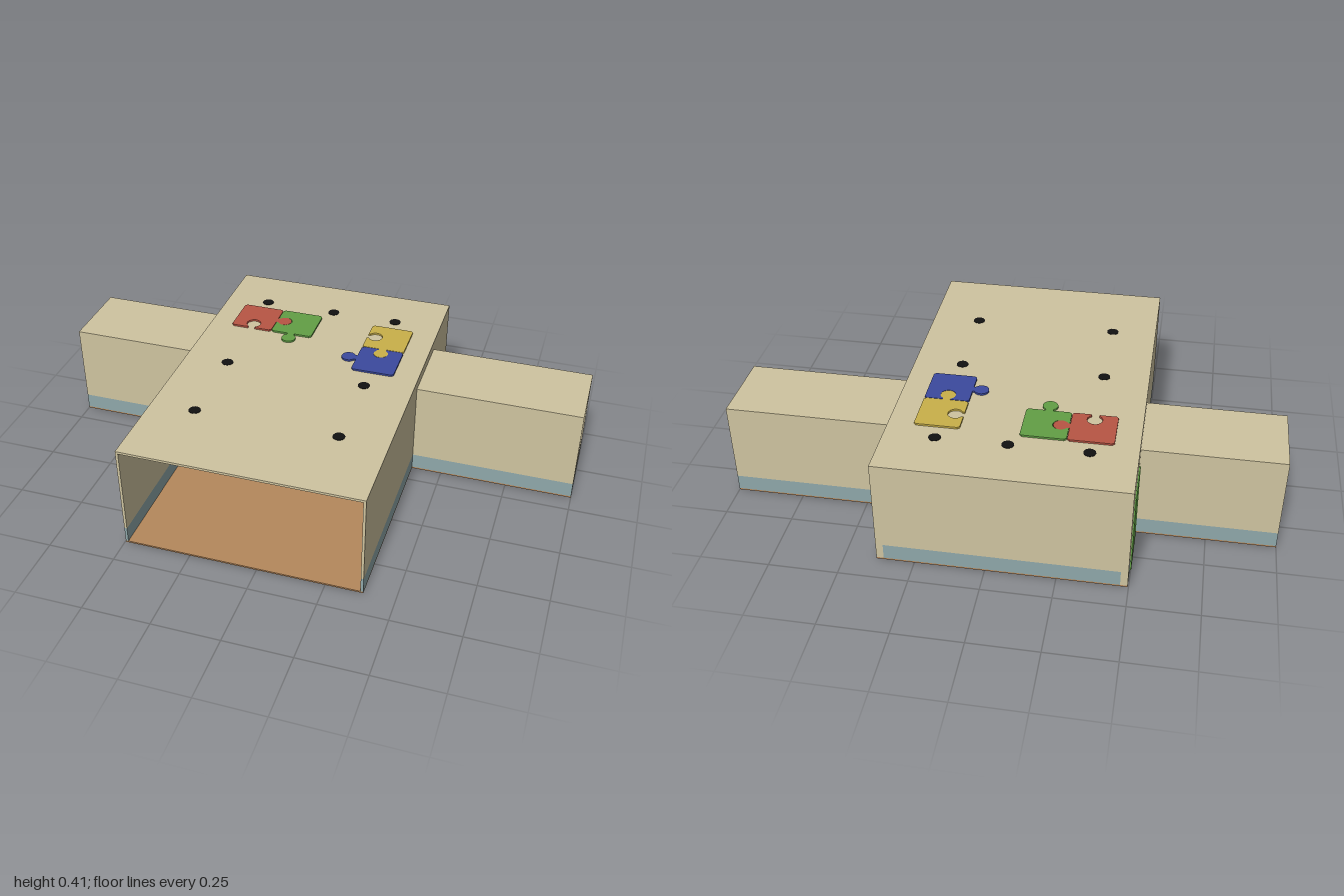
import * as THREE from 'three';

const mat = (name, color) => {
  const m = new THREE.MeshStandardMaterial({ color });
  m.name = name;
  return m;
};

export function createModel() {
  const root = new THREE.Group();
  root.name = 'playroom';
  const beige = mat('wall beige', 0xcfc4a0), slate = mat('skirting blue', 0x8fa8aa);
  const tan = mat('floor tan', 0xb5885c), red = mat('red', 0xb85544);
  const green = mat('green', 0x629f45), blue = mat('blue', 0x3b4a9e);
  const yellow = mat('yellow', 0xc9b04a), black = mat('black', 0x111111);

  const add = (name, geo, m, parent = root) => {
    const mesh = new THREE.Mesh(geo, m);
    mesh.name = name;
    parent.add(mesh);
    return mesh;
  };
  const box = (name, m, x0, x1, y0, y1, z0, z1, parent = root) => {
    const b = add(name, new THREE.BoxGeometry(x1 - x0, y1 - y0, z1 - z0), m, parent);
    b.position.set((x0 + x1) / 2, (y0 + y1) / 2, (z0 + z1) / 2);
    return b;
  };

  const F = 0.006, S = 0.065, H = 0.407, T = 0.01; // floor, skirting, height, wall thickness
  const X0 = -0.497, X1 = 0.386, Z0 = -0.655, Z1 = 0.652;
  const CZ0 = -0.365, CZ1 = -0.073, CH = 0.37; // corridor extents

  // Wall with a skirting band along its foot
  const wall = (name, x0, x1, z0, z1, top) => {
    box(name, beige, x0, x1, S, top, z0, z1);
    box(name + 'Skirting', slate, x0, x1, F, S, z0, z1);
  };

  // Main room, open at the front
  box('roomFloor', tan, X0, X1, 0, F, Z0, Z1);
  box('roof', beige, X0, X1, H - 0.009, H, Z0, Z1);
  const P = 0.026, top = H - 0.009;
  wall('backWall', X0 + P, X1 - P, Z0, Z0 + T, top);
  for (const [x, side] of [[X0, 'right'], [X1 - P, 'left']])
    box(side + 'CornerPost', beige, x, x + P, F, top, Z0, Z0 + P);
  for (const [x, side] of [[X0, 'right'], [X1 - T, 'left']]) {
    wall(side + 'RearWall', x, x + T, Z0 + P, CZ0 + T, top);
    wall(side + 'FrontWall', x, x + T, CZ1 - T, Z1, top);
    box(side + 'Lintel', beige, x, x + T, CH - T, top, CZ0 + T, CZ1 - T);
  }
  box('door', green, X0 - 0.005, X0 + T + 0.004, F, 0.315, -0.575, -0.385);

  // End wall of a corridor with a rounded window
  const endShape = () => {
    const s = new THREE.Shape();
    s.moveTo(CZ0, S).lineTo(CZ1, S).lineTo(CZ1, CH).lineTo(CZ0, CH).closePath();
    const a = -0.34, b = -0.097, c = 0.1, d = 0.348, r = 0.008;
    const w = new THREE.Path();
    w.moveTo(a + r, c).lineTo(b - r, c).quadraticCurveTo(b, c, b, c + r);
    w.lineTo(b, d - r).quadraticCurveTo(b, d, b - r, d);
    w.lineTo(a + r, d).quadraticCurveTo(a, d, a, d - r);
    w.lineTo(a, c + r).quadraticCurveTo(a, c, a + r, c);
    s.holes.push(w);
    return s;
  };

  // Side corridors
  for (const [x0, x1, side] of [[-1, X0, 'right'], [X1, 1, 'left']]) {
    const out = x0 < -0.9, e = out ? x0 : x1 - T; // end wall position
    const a = out ? x0 + T : x0, b = out ? x1 : x1 - T;
    box(side + 'CorridorFloor', tan, x0, x1, 0, F, CZ0, CZ1);
    box(side + 'CorridorRoof', beige, a, b, CH - T, CH, CZ0, CZ1);
    wall(side + 'CorridorBack', a, b, CZ0, CZ0 + T, CH - T);
    wall(side + 'CorridorFront', a, b, CZ1 - T, CZ1, CH - T);
    box(side + 'EndSkirting', slate, e, e + T, F, S, CZ0, CZ1);
    const g = new THREE.ExtrudeGeometry(endShape(), { depth: T, bevelEnabled: false });
    g.rotateY(-Math.PI / 2).translate(e + T, 0, 0);
    add(side + 'EndWindowWall', g, beige);
  }

  // Jigsaw piece lying flat; sides = front, right, back, left: 1 tab, -1 notch
  const jigsaw = (name, m, size, thick, sides) => {
    const h = size / 2, r = size * 0.17, d = size * 0.19, pts = [];
    sides.forEach((s, i) => {
      const c = Math.cos(i * Math.PI / 2), n = Math.sin(i * Math.PI / 2);
      const put = (u, v) => pts.push(new THREE.Vector2(u * c + (h + v) * n, u * n - (h + v) * c));
      const k = size * 0.05;
      put(-h + k, 0);
      if (s) {
        put(-r / 2, 0);
        for (let j = 0; j <= 14; j++) {
          const t = (-150 + j * 300 / 14) * Math.PI / 180;
          put(r * Math.sin(t), s * (d + r * Math.cos(t)));
        }
        put(r / 2, 0);
      }
      put(h - k, 0);
    });
    const g = new THREE.ExtrudeGeometry(new THREE.Shape(pts), { depth: thick, bevelEnabled: false });
    return add(name, g.rotateX(-Math.PI / 2), m);
  };

  // Roof jigsaw pieces, set through the roof
  for (const [name, m, x, z, sides] of [
    ['redRoofPiece', red, -0.327, -0.325, [-1, 1, 0, 0]],
    ['greenRoofPiece', green, -0.162, -0.325, [1, 0, 0, -1]],
    ['yellowRoofPiece', yellow, 0.212, -0.318, [1, 0, 0, -1]],
    ['blueRoofPiece', blue, 0.212, -0.153, [0, 0, -1, 1]],
  ]) jigsaw(name, m, 0.163, 0.023, sides).position.set(x, 0.391, z);

  // Floor mats
  jigsaw('blueFloorMat', blue, 0.115, 0.005, [0, -1, 0, 0]).position.set(-0.25, F, 0.11);
  jigsaw('yellowFloorMat', yellow, 0.115, 0.005, [0, 0, 0, 1]).position.set(-0.135, F, 0.11);

  // Wall pieces inside the right wall
  [yellow, blue, green, red].forEach((m, i) => {
    const p = jigsaw('wallPiece' + i, m, 0.07, 0.007, [1, 0, -1, 0]);
    p.rotation.z = -Math.PI / 2;
    p.position.set(X0 + T, 0.085 + i * 0.07, i % 2 ? 0.0 : -0.03);
  });

  // Round ceiling lamps
  for (const [x, z] of [[-0.33, -0.46], [-0.05, -0.46], [0.205, -0.46],
    [-0.33, 0.015], [0.205, 0.015], [-0.33, 0.345], [0.205, 0.345]])
    add('lamp', new THREE.CylinderGeometry(0.022, 0.022, 0.015, 20), black).position.set(x, 0.401, z);

  // Ball pit: ring of alternating quarters filled with balls
  const pit = new THREE.Group();
  pit.name = 'ballPit';
  pit.position.set(-0.403, F, 0.085);
  root.add(pit);
  for (let i = 0; i < 4; i++) {
    const s = new THREE.Shape();
    const a = i * Math.PI / 2, b = a + Math.PI / 2;
    s.absarc(0, 0, 0.08, a, b, false);
    s.absarc(0, 0, 0.06, b, a, true);
    const g = new THREE.ExtrudeGeometry(s, { depth: 0.038, bevelEnabled: false, curveSegments: 8 });
    add('pitQuarter', g.rotateX(-Math.PI / 2), i % 2 ? yellow : blue, pit);
  }
  add('pitBase', new THREE.CylinderGeometry(0.06, 0.06, 0.024, 24), black, pit).position.y = 0.012;
  for (let i = 0; i < 24; i++) {
    const r = 0.052 * Math.sqrt((i + 0.5) / 24), t = i * 2.4;
    add('ball', new THREE.SphereGeometry(0.009, 8, 6), [yellow, black, blue, yellow][i % 4], pit)
      .position.set(r * Math.cos(t), 0.03, r * Math.sin(t));
  }

  // Ladder
  const ladder = new THREE.Group();
  ladder.name = 'ladder';
  root.add(ladder);
  box('uprightRail', tan, 0.355, 0.374, F, 0.23, -0.02, 0.0, ladder);
  box('leaningRail', tan, 0.272, 0.291, F, 0.23, -0.02, 0.0, ladder).rotation.z = -0.13;
  [blue, yellow, blue, green, blue].forEach((m, i) =>
    box('rung', m, 0.275 + i * 0.004, 0.36, 0.02 + i * 0.044, 0.032 + i * 0.044, -0.016, -0.004, ladder));

  // Soft blocks
  box('redBlock', red, 0.245, 0.335, F, 0.075, 0.03, 0.12);
  const roll = add('softRoll', new THREE.CylinderGeometry(0.038, 0.038, 0.08, 24), [green, red, red]);
  roll.rotation.set(0, -0.5, Math.PI / 2);
  roll.position.set(0.175, F + 0.038, 0.09);

  return root;
}
